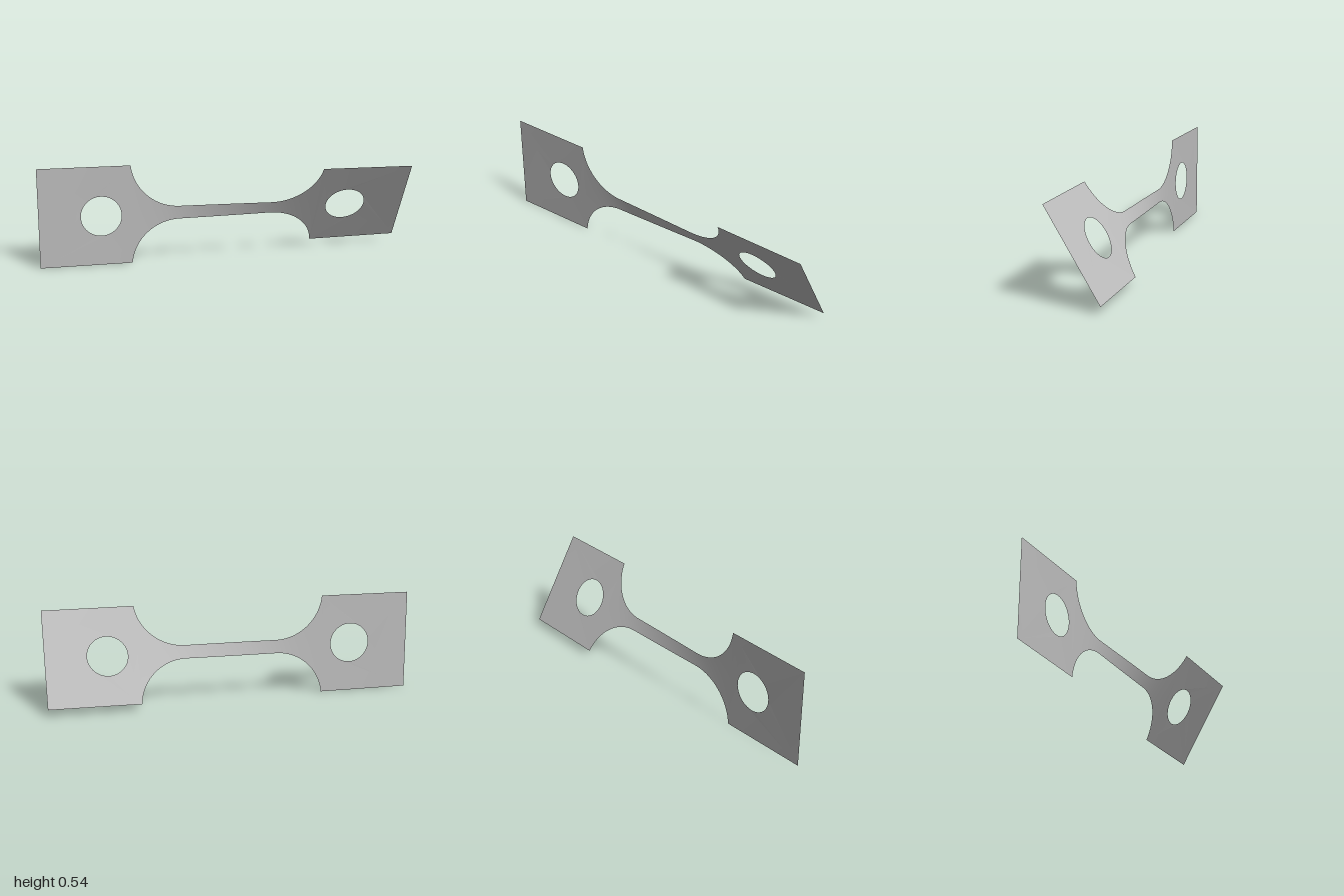
import * as THREE from 'three';

const CENTER_Y = 0.271;      // height of the long axis
const HALF = 0.271;          // half width of the end tabs
const NECK = 0.0365;         // half width of the narrow neck
const FILLET_X = 0.25, FILLET_R = 0.26;
const TAB_X = FILLET_X + Math.sqrt(FILLET_R ** 2 - (NECK + FILLET_R - HALF) ** 2);
const TWIST = THREE.MathUtils.degToRad(31.2);

// Half width of the strip at a position along its length
function halfWidth(x) {
  const a = Math.abs(x);
  if (a <= FILLET_X) return NECK;
  if (a >= TAB_X) return HALF;
  return NECK + FILLET_R - Math.sqrt(FILLET_R ** 2 - (a - FILLET_X) ** 2);
}

// Accumulated twist: the narrow neck turns much faster than the wide tabs
const STEPS = 1000;
const turned = [0];
const twistTable = () => {
  for (let i = 0; i < STEPS; i++) {
    const x = -1 + (2 * (i + 0.5)) / STEPS;
    turned.push(turned[i] + Math.pow(NECK / halfWidth(x), 1.3));
  }
};
twistTable();

function twistAt(x) {
  const t = THREE.MathUtils.clamp((x + 1) / 2, 0, 1) * STEPS;
  const i = Math.min(Math.floor(t), STEPS - 1);
  return (TWIST * THREE.MathUtils.lerp(turned[i], turned[i + 1], t - i)) / turned[STEPS];
}

// Turn every point of a flat sheet about the long axis
function twistSheet(geometry) {
  const p = geometry.attributes.position;
  for (let i = 0; i < p.count; i++) {
    const x = p.getX(i), y = p.getY(i), a = twistAt(x);
    p.setXYZ(i, x, CENTER_Y + y * Math.cos(a), y * Math.sin(a));
  }
  geometry.computeVertexNormals();
  return geometry;
}

// Square end tab with a round hole
function tabGeometry(side) {
  const shape = new THREE.Shape();
  shape.moveTo(side, -HALF);
  shape.lineTo(side * TAB_X, -HALF);
  shape.lineTo(side * TAB_X, HALF);
  shape.lineTo(side, HALF);
  shape.closePath();
  const hole = new THREE.Path();
  hole.absarc(side * 0.67, 0, 0.108, 0, Math.PI * 2, true);
  shape.holes.push(hole);
  return twistSheet(new THREE.ShapeGeometry(shape, 32));
}

// Neck and its flared fillets, with columns packed closer near the tabs
function neckGeometry() {
  const g = new THREE.PlaneGeometry(2, 2, 120, 8);
  const p = g.attributes.position;
  for (let i = 0; i < p.count; i++) {
    const x = TAB_X * Math.sin((p.getX(i) * Math.PI) / 2);
    p.setXY(i, x, p.getY(i) * halfWidth(x));
  }
  return twistSheet(g);
}

export function createModel() {
  const metal = new THREE.MeshStandardMaterial({ color: 0xbfbfbf, side: THREE.DoubleSide });
  metal.name = 'grey metal';
  const model = new THREE.Group();
  model.name = 'twistedStrip';
  const add = (name, geometry) => {
    const mesh = new THREE.Mesh(geometry, metal);
    mesh.name = name;
    model.add(mesh);
  };
  add('rightTab', tabGeometry(-1));
  add('neck', neckGeometry());
  add('leftTab', tabGeometry(1));
  return model;
}
